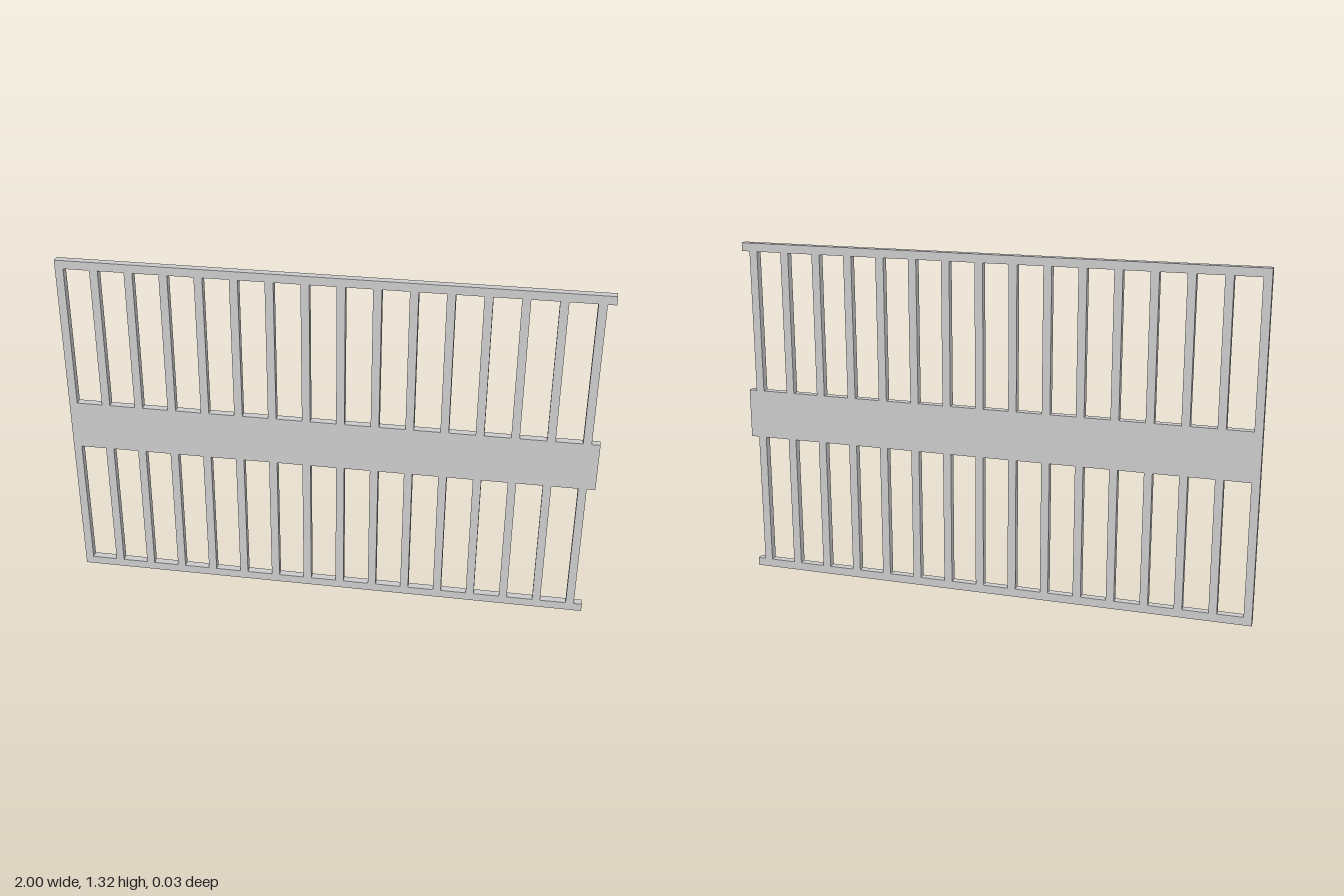
import * as THREE from 'three';

const DEPTH = 0.03;
const BAR_COUNT = 16;
const BAR_WIDTH = 0.031;
const BAR_PITCH = 0.1292;

// Heights of the horizontal members: [bottom, top]
const BOTTOM_RAIL = [0, 0.032];
const MIDDLE_BAND = [0.552, 0.742];
const TOP_RAIL = [1.291, 1.323];

export function createModel() {
  const group = new THREE.Group();
  group.name = 'railingPanel';
  const material = new THREE.MeshStandardMaterial({ color: 0xcccccc, flatShading: true });

  // Box from its left edge, width and vertical extent
  function addBox(name, x, width, y0, y1, parent = group) {
    const mesh = new THREE.Mesh(new THREE.BoxGeometry(width, y1 - y0, DEPTH), material);
    mesh.position.set(x + width / 2, (y0 + y1) / 2, 0);
    mesh.name = name;
    parent.add(mesh);
  }

  // Full-width horizontal members
  addBox('bottomRail', -1, 2, ...BOTTOM_RAIL);
  addBox('middleBand', -1, 2, ...MIDDLE_BAND);
  addBox('topRail', -1, 2, ...TOP_RAIL);

  // Two rows of upright bars; they start flush at -x and stop short of the +x end
  const rows = [
    ['lowerBar', BOTTOM_RAIL[1], MIDDLE_BAND[0]],
    ['upperBar', MIDDLE_BAND[1], TOP_RAIL[0]],
  ];
  for (const [name, y0, y1] of rows) {
    const row = new THREE.Group();
    row.name = name + 's';
    for (let i = 0; i < BAR_COUNT; i++) {
      addBox(name + (i + 1), -1 + i * BAR_PITCH, BAR_WIDTH, y0, y1, row);
    }
    group.add(row);
  }

  return group;
}
